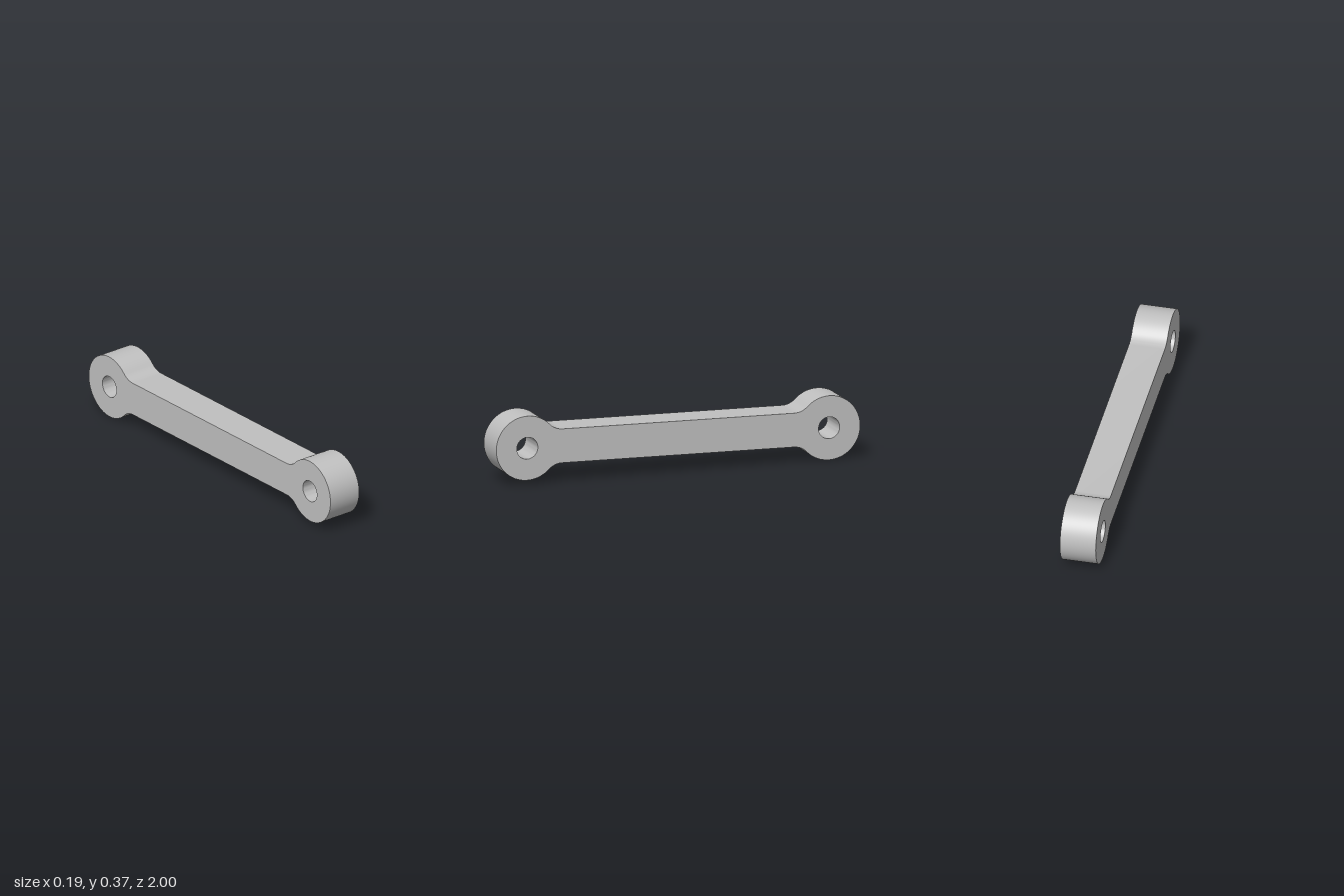
import * as THREE from 'three';
import { toCreasedNormals } from 'three/addons/utils/BufferGeometryUtils.js';

const HALF = 0.8295;    // hub centre to middle
const HUB = 0.1705;     // hub radius
const HOLE = 0.058;     // pin hole radius
const BAR = 0.09;       // half height of the bar
const FILLET = 0.1;     // blend radius between bar and hub
const WIDTH = 0.19;
const TILT = 0.0151;    // front end sits slightly higher

// Points along an arc, leaving out the first so that tangent arcs join cleanly
function arc(cx, cy, r, from, to, steps) {
  return Array.from({ length: steps }, (_, i) => {
    const a = from + ((to - from) * (i + 1)) / steps;
    return new THREE.Vector2(cx + r * Math.cos(a), cy + r * Math.sin(a));
  });
}

function linkShape() {
  const cy = BAR + FILLET;
  const d = Math.sqrt((HUB + FILLET) ** 2 - cy ** 2);
  const cx = HALF - d;
  const b = Math.atan2(cy, d);

  // One end: lower fillet, hub, upper fillet
  const end = [
    new THREE.Vector2(cx, -BAR),
    ...arc(cx, -cy, FILLET, Math.PI / 2, b, 12),
    ...arc(HALF, 0, HUB, b - Math.PI, Math.PI - b, 64),
    ...arc(cx, cy, FILLET, -b, -Math.PI / 2, 12),
  ];
  // The other end is the same, turned half round
  const shape = new THREE.Shape([...end, ...end.map((p) => p.clone().negate())]);

  for (const side of [-1, 1]) {
    const hole = arc(side * HALF, 0, HOLE, 0, -Math.PI * 2, 40);
    shape.holes.push(new THREE.Path(hole));
  }
  return shape;
}

export function createModel() {
  const metal = new THREE.MeshStandardMaterial({ color: 0xc0c0c0 });
  metal.name = 'light grey metal';

  let geometry = new THREE.ExtrudeGeometry(linkShape(), { depth: WIDTH, bevelEnabled: false });
  geometry.translate(0, 0, -WIDTH / 2);
  geometry.rotateZ(TILT);
  geometry.rotateY(-Math.PI / 2);
  geometry = toCreasedNormals(geometry, 0.6);

  const link = new THREE.Mesh(geometry, metal);
  link.name = 'connecting link';
  link.position.y = HUB + HALF * Math.sin(TILT);

  const model = new THREE.Group();
  model.name = 'link arm';
  model.add(link);
  return model;
}
